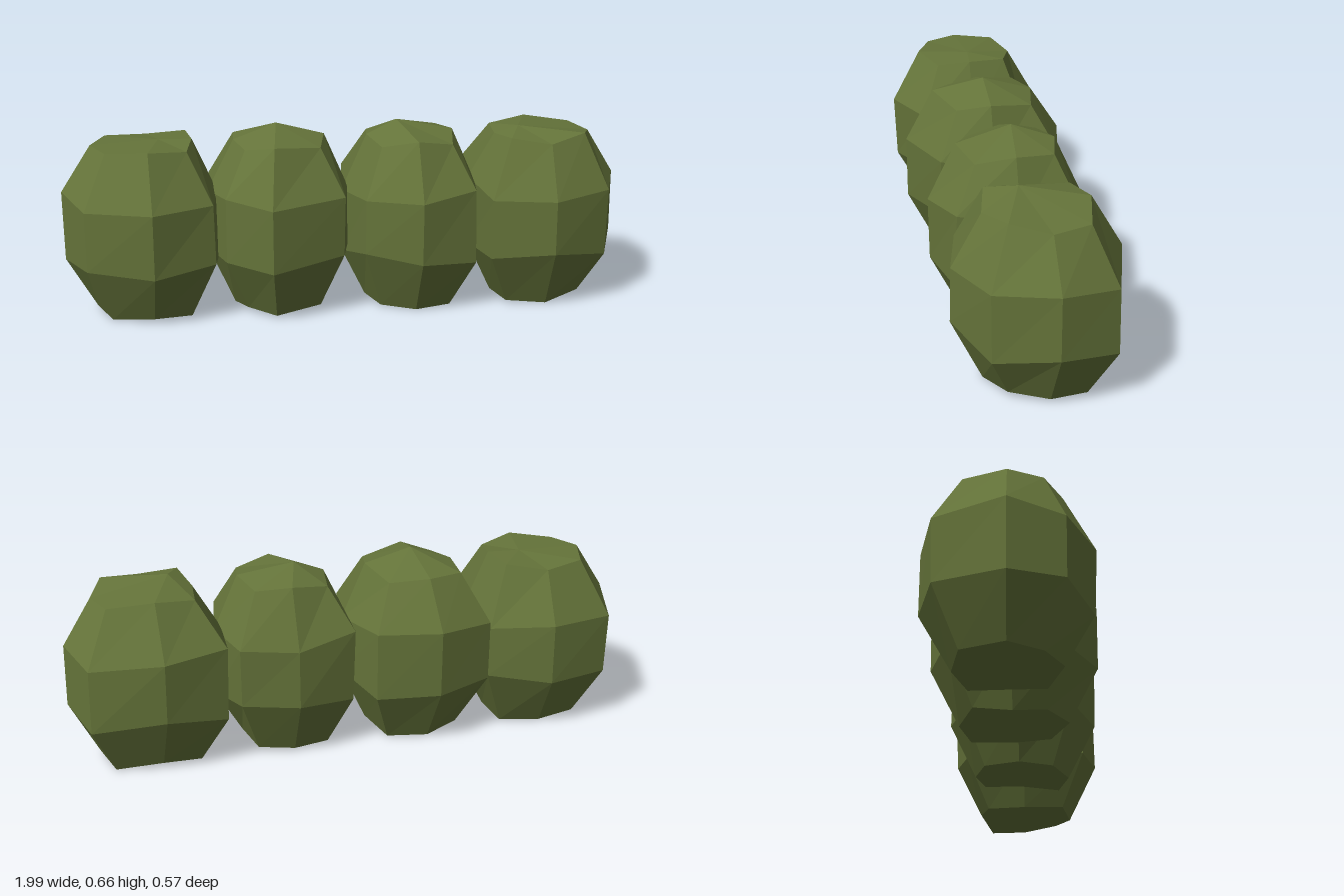
import * as THREE from 'three';

// Plan outlines run from +x towards +z; apex is [x, y, z]
const BUSHES = [
  {
    name: 'bushFarRight', centre: [-0.71, 0], apex: [-0.66, 0.612, -0.01], seed: 1,
    outline: [[-0.45, 0], [-0.48, 0.19], [-0.69, 0.28], [-0.92, 0.19], [-1, 0.01], [-0.93, -0.22], [-0.7, -0.28], [-0.48, -0.21]],
  },
  {
    name: 'bushInnerRight', centre: [-0.24, 0], apex: [-0.25, 0.66, 0], seed: 5,
    outline: [[0.01, 0], [-0.03, 0.19], [-0.29, 0.29], [-0.44, 0.18], [-0.5, 0], [-0.48, -0.21], [-0.28, -0.29], [-0.06, -0.24]],
  },
  {
    name: 'bushInnerLeft', centre: [0.22, 0], apex: [0.18, 0.653, -0.02], seed: 9,
    outline: [[0.47, 0], [0.43, 0.21], [0.23, 0.28], [0.04, 0.19], [-0.02, 0], [0.01, -0.2], [0.22, -0.26], [0.42, -0.22]],
  },
  {
    name: 'bushFarLeft', centre: [0.7, 0], apex: [0.61, 0.63, 0.04], seed: 14,
    outline: [[0.99, -0.02], [0.91, 0.18], [0.7, 0.275], [0.48, 0.23], [0.44, 0], [0.46, -0.22], [0.68, -0.28], [0.93, -0.22]],
  },
];

// Height, spread from the centre and height variation of each ring
const RINGS = [
  { y: 0.005, spread: 0.63, vary: 0.02 },
  { y: 0.2, spread: 0.99, vary: 0.025 },
  { y: 0.42, spread: 0.99, vary: 0.025 },
  { y: 0.603, spread: 0.63, vary: 0.015 },
];

function seededRandom(seed) {
  let s = seed * 7919;
  return () => {
    s = (s * 16807 + 11) % 2147483647;
    return s / 2147483647;
  };
}

// Joins uneven rings into one faceted, closed clump
function bushGeometry({ centre: [cx, cz], apex, outline, seed }) {
  const random = seededRandom(seed);
  for (let i = 0; i < 5; i++) random();
  const n = outline.length;
  const positions = [];
  for (const { y, spread, vary } of RINGS) {
    for (const [x, z] of outline) {
      const s = spread * (0.98 + 0.04 * random());
      const height = Math.max(0, y + vary * (random() * 2 - 1));
      positions.push(
        THREE.MathUtils.clamp(cx + (x - cx) * s, -1, 1),
        height,
        cz + (z - cz) * s
      );
    }
  }
  positions.push(cx, 0, cz, ...apex);

  const index = [];
  const bottom = RINGS.length * n;
  const top = bottom + 1;
  const last = (RINGS.length - 1) * n;
  for (let i = 0; i < n; i++) {
    const j = (i + 1) % n;
    for (let r = 0; r < last; r += n) {
      const a = r + i, b = r + j, c = a + n, d = b + n;
      index.push(a, c, b, b, c, d);
    }
    index.push(bottom, i, j, top, last + j, last + i);
  }

  const geometry = new THREE.BufferGeometry();
  geometry.setAttribute('position', new THREE.Float32BufferAttribute(positions, 3));
  geometry.setIndex(index);
  const faceted = geometry.toNonIndexed();
  faceted.computeVertexNormals();
  return faceted;
}

export function createModel() {
  const hedge = new THREE.Group();
  hedge.name = 'hedge';
  const foliage = new THREE.MeshStandardMaterial({ color: 0x65743a, flatShading: true });
  foliage.name = 'olive foliage';

  // Row of four overlapping bushes
  for (const bush of BUSHES) {
    const mesh = new THREE.Mesh(bushGeometry(bush), foliage);
    mesh.name = bush.name;
    hedge.add(mesh);
  }
  return hedge;
}
